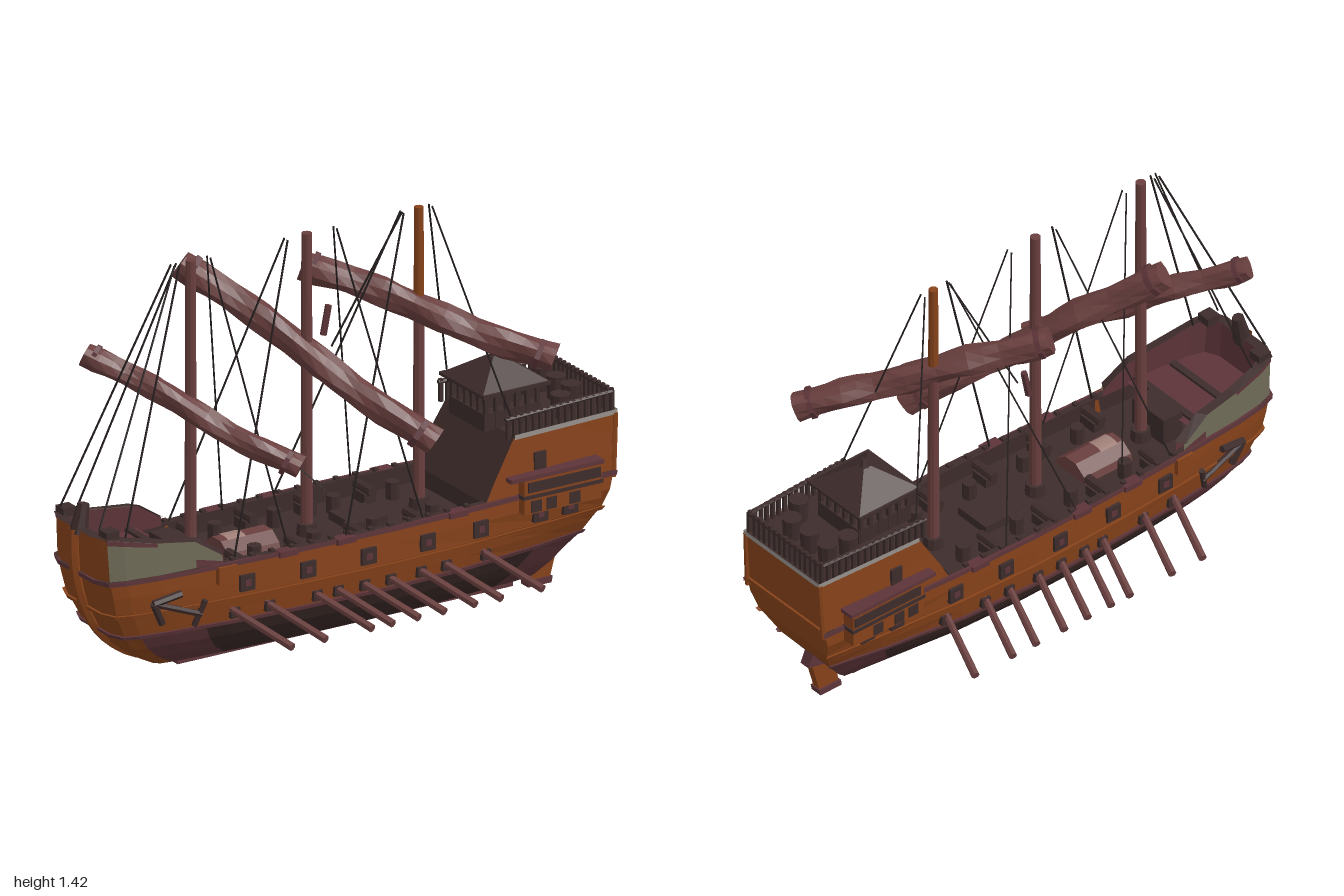
import * as THREE from 'three';

const mat = (name, color) => {
  const m = new THREE.MeshStandardMaterial({ color, flatShading: true, side: THREE.DoubleSide });
  m.name = name;
  return m;
};

// Hull tables: height -> bow x, stern x, half width; station -> width factor
const BOW = [[0.03, -0.6], [0.05, -0.7], [0.1, -0.79], [0.15, -0.85], [0.2, -0.89], [0.3, -0.94], [0.42, -0.968], [0.62, -0.98]];
const STERN = [[0.03, 0.72], [0.05, 0.77], [0.1, 0.82], [0.15, 0.86], [0.2, 0.9], [0.3, 0.955], [0.42, 0.985], [0.62, 1]];
const HALF = [[0.03, 0.03], [0.05, 0.09], [0.1, 0.155], [0.15, 0.195], [0.2, 0.217], [0.3, 0.232], [0.42, 0.23], [0.62, 0.22]];
const COLS = [[0, 0], [0, 0.45], [0.012, 0.69], [0.04, 0.77], [0.1, 0.84], [0.17, 0.88], [0.22, 0.91], [0.36, 0.96], [0.55, 1], [0.72, 0.97], [0.89, 0.9], [1, 0.85], [1, 0]];

const at = (tab, v) => {
  let i = 0;
  while (i < tab.length - 2 && v > tab[i + 1][0]) i++;
  const [a, b] = [tab[i], tab[i + 1]];
  const k = a[0] === b[0] ? 1 : THREE.MathUtils.clamp((v - a[0]) / (b[0] - a[0]), 0, 1);
  return a[1] + (b[1] - a[1]) * k;
};
// The hull narrows low down towards its ends
const taper = (t, y) => 1 - at([[0.14, 1], [0.36, 0]], y) * (at([[0, 0.15], [0.3, 0]], t) + 0.45 * at([[0.6, 0], [1, 1]], t) ** 2);
const P = ([t, f], y, s = 1, inset = 0) => {
  const xb = at(BOW, y) + inset, xs = at(STERN, y) - inset;
  return [xb + (xs - xb) * t, y, s * f * taper(t, y) * (at(HALF, y) - inset)];
};
const sideZ = (x, y) => {
  const t = (x - at(BOW, y)) / (at(STERN, y) - at(BOW, y));
  return at(HALF, y) * at(COLS, t) * taper(t, y);
};

// Surface through rows of points
function loft(rows) {
  const n = rows[0].length, idx = [];
  for (let r = 0; r < rows.length - 1; r++) for (let c = 0; c < n - 1; c++) {
    const a = r * n + c;
    idx.push(a, a + 1, a + n, a + 1, a + n + 1, a + n);
  }
  const g = new THREE.BufferGeometry();
  g.setAttribute('position', new THREE.Float32BufferAttribute(rows.flat(2), 3));
  g.setIndex(idx);
  g.computeVertexNormals();
  return g;
}

export function createModel() {
  const ship = new THREE.Group();
  ship.name = 'sailingShip';
  const orange = mat('orange planks', 0x86421a), dark = mat('dark wood', 0x3d2c2b), bottom = mat('hull bottom', 0x382725);
  const plum = mat('plum wood', 0x5c3438), cloth = mat('furled cloth', 0x693f3e), moss = mat('weathered panel', 0x6e6956);
  const pale = mat('pale trim', 0x96908a), rope = mat('rope', 0x261f1f), patch = mat('faded patch', 0xa08078);

  const add = (name, geo, m, x = 0, y = 0, z = 0) => {
    const o = new THREE.Mesh(geo, m);
    o.name = name;
    o.position.set(x, y, z);
    ship.add(o);
    return o;
  };
  const box = (name, m, w, h, d, x, y, z) => add(name, new THREE.BoxGeometry(w, h, d), m, x, y, z);
  const cyl = (name, m, r0, r1, h, x, y, z, n = 8) => add(name, new THREE.CylinderGeometry(r0, r1, h, n), m, x, y, z);
  const aim = (o, a, b) => {
    const A = new THREE.Vector3(...a), B = new THREE.Vector3(...b);
    o.position.copy(A).add(B).multiplyScalar(0.5);
    o.quaternion.setFromUnitVectors(new THREE.Vector3(0, 1, 0), B.sub(A).normalize());
    return o;
  };
  const dist = (a, b) => Math.hypot(a[0] - b[0], a[1] - b[1], a[2] - b[2]);
  const rod = (name, m, a, b, r, n = 6, r2 = r) => aim(cyl(name, m, r2, r, dist(a, b), 0, 0, 0, n), a, b);
  const both = (fn) => [1, -1].forEach(fn);

  // Hull sides and painted bottom
  const lower = [0.03, 0.05, 0.1, 0.15, 0.2], upper = [0.2, 0.25, 0.3, 0.36, 0.42];
  both((s) => {
    const part = (name, ys, i, j, m) => add(name, loft(ys.map((y) => COLS.slice(i, j).map((c) => P(c, y, s)))), m);
    part('hullPlanks', upper, 0, 13, orange);
    part('hullBowPlanks', lower, 0, 4, orange);
    part('hullBottomBow', lower, 3, 6, plum);
    part('hullBottom', lower, 5, 11, bottom);
    part('hullBottomStern', lower, 10, 13, plum);
    // Raised wales and top rail
    [[0.205, 0.006, plum], [0.29, 0.007, orange], [0.416, 0.008, plum]].forEach(([y, h, m]) =>
      add('wale', loft([[y - h, 0], [y - h, -0.01], [y + h, -0.01], [y + h, 0]].map(([v, k]) => COLS.slice(0, 12).map((c) => P(c, v, s, k)))), m));
    // Bulwark lining
    add('bulwark', loft([[0.424, -0.008], [0.424, 0.022], [0.35, 0.022]].map(([y, k]) => COLS.slice(0, 12).map((c) => P(c, y, s, k)))), dark);
    // Raised bow panels
    const top = [0.57, 0.57, 0.57, 0.56, 0.535, 0.515, 0.45];
    const bowWall = (name, i, j, m, k, lo = 0, hi = 1) => add(name, loft([lo, (lo + hi) / 2, hi].map((q) =>
      COLS.slice(i, j).map((c, n) => P(c, 0.42 + (top[i + n] - 0.42) * q, s, k)))), m);
    bowWall('bowFront', 0, 3, orange, 0);
    bowWall('bowPanel', 2, 7, moss, 0);
    bowWall('bowPanelTop', 2, 5, plum, -0.002, 0.88, 1);
    bowWall('bowPanelFoot', 5, 7, plum, -0.002, 0, 0.35);
    bowWall('bowLining', 0, 7, plum, 0.025);
    add('bowRail', loft([-0.006, 0.03].map((k) => COLS.slice(0, 7).map((c, n) => P(c, top[n] + 0.003, s, k)))), dark);
  });
  const plate = (name, cols, y, m, k) => add(name, loft([1, -1].map((s) => cols.map((c) => P(c, y, s, k)))), m);
  plate('hullFloor', COLS, 0.03, bottom, 0);
  plate('mainDeck', COLS, 0.36, dark, 0.015);
  plate('bowDeck', COLS.slice(0, 6), 0.435, plum, 0.02);
  [[-0.66, 0.36], [-0.8, 0.32]].forEach(([x, d]) => box('bowBeam', dark, 0.025, 0.02, d, x, 0.435, 0));
  box('keel', plum, 1.3, 0.03, 0.03, 0.06, 0.03, 0);
  // Stem post and its scroll
  add('stemPost', new THREE.TubeGeometry(new THREE.CatmullRomCurve3([[-0.62, 0.045, 0], [-0.79, 0.11, 0], [-0.89, 0.2, 0], [-0.95, 0.32, 0], [-0.978, 0.44, 0], [-0.98, 0.57, 0]].map((p) => new THREE.Vector3(...p))), 16, 0.02, 6), orange);
  rod('stemHead', dark, [-0.965, 0.55, 0], [-0.945, 0.65, 0], 0.033, 8, 0.02);
  both((s) => box('bowCleat', dark, 0.05, 0.03, 0.05, -0.93, 0.58, s * 0.13));

  // Stern castle
  const castleCols = (y) => {
    const front = 0.47 + Math.max(0, y - 0.42) * 0.6;
    const t = (front - at(BOW, y)) / (at(STERN, y) - at(BOW, y));
    return [[t, at(COLS, t)], COLS[10], COLS[11], COLS[12]];
  };
  both((s) => add('castleSide', loft([0.41, 0.48, 0.55, 0.625].map((y) => castleCols(y).map((c) => P(c, y, s)))), orange));
  add('castleFront', loft([0.36, 0.42, 0.48, 0.55, 0.625].map((y) => [1, -1].map((s) => P(castleCols(y)[0], y, s)))), dark);
  plate('castleDeck', castleCols(0.622), 0.622, dark, 0);
  both((s) => {
    add('castleTrim', loft([0.615, 0.632].map((y) => castleCols(0.62).map((c) => { const p = P(c, 0.62, s, -0.004); return [p[0], y, p[2]]; }))), pale);
    rod('transomCorner', orange, [0.985, 0.4, s * 0.192], [0.997, 0.62, s * 0.186], 0.01);
    // Castle balustrade
    rod('castleRail', dark, [0.56, 0.69, s * 0.204], [0.985, 0.695, s * 0.184], 0.008);
    for (let i = 0; i < 17; i++) box('baluster', dark, 0.012, 0.08, 0.012, 0.57 + i * 0.026, 0.66, s * (0.203 - i * 0.0012));
  });
  rod('sternRail', dark, [0.985, 0.695, -0.184], [0.985, 0.695, 0.184], 0.008);
  for (let i = 0; i < 15; i++) box('sternBaluster', dark, 0.012, 0.09, 0.012, 0.985, 0.662, -0.182 + i * 0.026);
  box('transomBand', orange, 0.012, 0.015, 0.38, 0.987, 0.425, 0);

  // Small lookout cabin
  box('cabinBase', dark, 0.22, 0.06, 0.21, 0.65, 0.65, 0);
  box('cabinCore', dark, 0.13, 0.13, 0.12, 0.65, 0.69, 0);
  for (let i = 0; i < 6; i++) both((s) => {
    box('cabinPost', dark, 0.014, 0.13, 0.014, 0.55 + i * 0.04, 0.69, s * 0.1);
    box('cabinPost', dark, 0.014, 0.13, 0.014, 0.65 + s * 0.1, 0.69, -0.1 + i * 0.04);
  });
  box('cabinEaves', dark, 0.26, 0.012, 0.27, 0.65, 0.752, 0);
  const roof = cyl('cabinRoof', dark, 0.022, 0.185, 0.08, 0.65, 0.795, 0, 4);
  roof.geometry.rotateY(Math.PI / 4);
  cyl('cabinFinial', dark, 0.008, 0.02, 0.03, 0.65, 0.845, 0, 6);
  [[0.82, -0.12], [0.9, -0.11], [0.9, -0.02], [0.9, 0.07], [0.82, 0.13]].forEach(([x, z]) => cyl('sternBarrel', dark, 0.034, 0.03, 0.08, x, 0.665, z, 10));

  // Side galleries, gunports, anchors, oars
  const ports = [-0.45, -0.22, 0.01, 0.24, 0.45, 0.69, 0.81];
  const oars = [-0.42, -0.29, -0.11, -0.03, 0.07, 0.17, 0.29, 0.39, 0.55];
  both((s) => {
    box('gallery', orange, 0.3, 0.12, 0.06, 0.755, 0.42, s * 0.218);
    box('galleryRoof', plum, 0.36, 0.014, 0.055, 0.735, 0.486, s * 0.222);
    box('galleryBand', dark, 0.28, 0.035, 0.008, 0.76, 0.453, s * 0.248);
    box('galleryLedge', dark, 0.31, 0.012, 0.064, 0.755, 0.42, s * 0.22);
    [0.65, 0.71, 0.8].forEach((x) => box('galleryWindow', dark, 0.04, 0.04, 0.008, x, 0.385, s * 0.248));
    box('castleWindow', dark, 0.045, 0.06, 0.016, 0.69, 0.525, s * sideZ(0.69, 0.525));
    ports.forEach((x) => {
      const z = s * sideZ(x, 0.34);
      box('gunportFrame', dark, 0.056, 0.056, 0.022, x, 0.34, z);
      box('gunportHatch', plum, 0.022, 0.022, 0.027, x, 0.34, z);
    });
    [-0.53, -0.3, -0.08, 0.355].forEach((x, i) => box('channel', i ? plum : orange, 0.07, i ? 0.02 : 0.06, 0.04, x, i ? 0.415 : 0.385, s * sideZ(x, 0.4)));
    oars.forEach((x) => {
      rod('oar', cloth, [x - 0.08, 0.25, s * 0.2], [x, 0.18, s * 0.445], 0.012, 7, 0.014);
      box('oarPort', dark, 0.035, 0.035, 0.025, x - 0.07, 0.238, s * sideZ(x - 0.07, 0.238));
    });
    const q = (x, y) => [x, y, s * (sideZ(x, y) + 0.012)];
    rod('anchorShank', dark, q(-0.62, 0.26), q(-0.8, 0.33), 0.011);
    rod('anchorStock', dark, q(-0.61, 0.31), q(-0.64, 0.22), 0.01);
    rod('anchorArm', dark, q(-0.8, 0.33), q(-0.7, 0.35), 0.013);
    rod('anchorArm', dark, q(-0.8, 0.33), q(-0.76, 0.25), 0.013);
    for (let i = 0; i < 13; i++) {
      const x = -0.5 + i * 0.075;
      box('railKnob', dark, 0.016, 0.012, 0.018, x, 0.428, s * (sideZ(x, 0.42) - 0.008));
    }
    // Deck guns and barrels
    [-0.45, -0.22, 0.01, 0.24].forEach((x) => {
      box('gunCarriage', dark, 0.045, 0.035, 0.07, x, 0.378, s * 0.15);
      rod('gunBarrel', dark, [x, 0.405, s * 0.1], [x, 0.405, s * 0.2], 0.017, 8);
      cyl('deckBarrel', dark, 0.024, 0.024, 0.06, x + 0.09, 0.39, s * 0.12);
    });
  });

  // Deck cargo and hatch
  const tarp = cyl('coveredBoat', cloth, 0.085, 0.085, 0.2, -0.33, 0.335, 0, 10);
  tarp.rotation.z = Math.PI / 2;
  const faded = add('fadedPatch', new THREE.CylinderGeometry(0.088, 0.088, 0.07, 6, 1, true, 1.2, 0.75), patch, -0.37, 0.335, 0);
  faded.rotation.z = Math.PI / 2;
  box('hatch', dark, 0.14, 0.03, 0.14, 0.12, 0.375, 0);
  box('bowLocker', dark, 0.08, 0.1, 0.16, -0.6, 0.41, 0);

  // Rudder
  const blade = (name, pts, m, d) => {
    const g = new THREE.ExtrudeGeometry(new THREE.Shape(pts.map((p) => new THREE.Vector2(...p))), { depth: d, bevelEnabled: false });
    add(name, g.translate(0, 0, -d / 2), m);
  };
  blade('rudder', [[0.77, 0.005], [0.85, 0.005], [0.885, 0.13], [0.79, 0.12]], orange, 0.03);
  blade('rudderEdge', [[0.765, 0], [0.855, 0], [0.86, 0.022], [0.768, 0.022]], plum, 0.045);
  blade('rudderHead', [[0.78, 0.11], [0.905, 0.135], [0.875, 0.21], [0.82, 0.2]], plum, 0.04);

  // Masts
  const masts = [-0.53, -0.08, 0.355];
  masts.forEach((x, i) => {
    const split = i === 2 ? 1.08 : 1.415;
    rod('mast', cloth, [x, 0.35, 0], [x, split, 0], 0.021, 10, 0.018);
    if (i === 2) rod('mastTop', orange, [x, split, 0], [x, 1.415, 0], 0.018, 10, 0.016);
    cyl('mastCollar', dark, 0.032, 0.036, 0.04, x, 0.38, 0, 10);
  });

  // Furled sails on slanting yards
  const sails = [[[-0.79, 1.07, -0.23], [-0.3, 0.73, 0.3], 0.041], [[-0.38, 1.28, -0.29], [0.22, 0.71, 0.3], 0.05], [[0.06, 1.2, -0.24], [0.68, 0.91, 0.31], 0.05]];
  sails.forEach(([a, b, r]) => {
    const L = dist(a, b), g = new THREE.CylinderGeometry(r, r, L, 10, 16), p = g.attributes.position;
    for (let i = 0; i < p.count; i++) {
      const v = p.getY(i) / L, ang = Math.atan2(p.getZ(i), p.getX(i));
      const k = 0.95 + 0.08 * Math.sin(v * 26) + 0.12 * Math.sin(ang * 3 + v * 14);
      p.setXYZ(i, p.getX(i) * k, p.getY(i), p.getZ(i) * k + 0.008 * Math.sin(v * 9));
    }
    g.computeVertexNormals();
    aim(add('furledSail', g, cloth), a, b);
    [0.03, 0.93].forEach((k) => {
      const along = (u) => a.map((c, j) => c + (b[j] - c) * u);
      rod('sailTie', plum, along(k), along(k + 0.02), r * 1.1, 8);
    });
  });

  // Rigging: mast-top x, foot x, foot height, foot z
  [[-0.6, -0.96, 0.6, 0.12], [-0.58, -0.88, 0.56, 0.15], [-0.46, -0.28, 0.42, 0.2], [-0.16, -0.49, 0.42, 0.2], [0.03, 0.23, 0.42, 0.22],
    [0.29, -0.07, 0.42, 0.22], [0.4, 0.59, 0.69, 0.19]].forEach(([x0, x1, y, z]) => both((s) =>
    rod('shroud', rope, [x0, 1.41, s * 0.01], [x1, y, s * z], 0.0035, 4)));
  rod('sailLine', rope, [0.29, 1.41, 0], [0.08, 0.95, -0.1], 0.0035, 4);
  rod('pulleyBlock', plum, [0.12, 1.06, -0.18], [0.1, 0.96, -0.18], 0.012, 5);
  rod('sailLine', rope, [-0.32, 0.76, 0.28], [-0.22, 0.65, 0.33], 0.003, 4);
  return ship;
}
